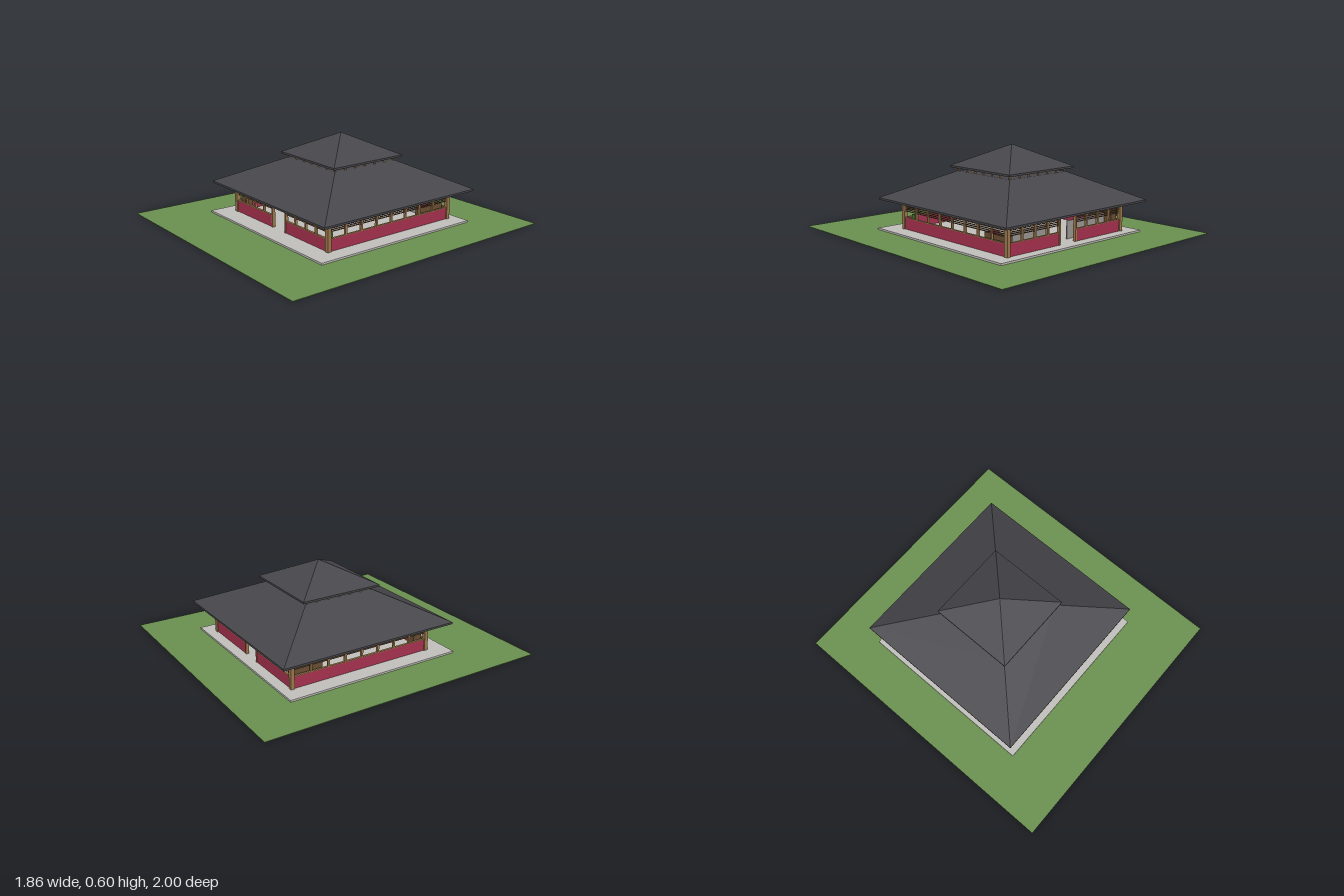
import * as THREE from 'three';

const mat = (name, color) => {
  const m = new THREE.MeshStandardMaterial({ color });
  m.name = name;
  return m;
};

export function createModel() {
  const grass = mat('grass green', 0x6b9150);
  const stone = mat('pale stone', 0xc3c1bd);
  const wood = mat('timber', 0xa07a4e);
  const dark = mat('dark timber', 0x6b4f35);
  const red = mat('crimson panel', 0xa8324f);
  const slate = mat('roof slate', 0x47464b);
  const grey = mat('grey panel', 0x9d9894);
  const leaf = mat('plant green', 0x4f7a35);

  const model = new THREE.Group();
  model.name = 'pavilion';

  // box spanning w, h, d with its base at y
  function box(parent, name, m, w, h, d, x, y, z) {
    const mesh = new THREE.Mesh(new THREE.BoxGeometry(w, h, d), m);
    mesh.name = name;
    mesh.position.set(x, y + h / 2, z);
    parent.add(mesh);
    return mesh;
  }

  // site
  box(model, 'lawn', grass, 1.86, 0.004, 2, 0, 0, 0);
  box(model, 'plinth', stone, 1.262, 0.012, 1.242, 0, 0.004, -0.043);

  const house = new THREE.Group();
  house.name = 'house';
  house.position.z = -0.075;
  model.add(house);

  const floor = 0.016, sill = 0.095, head = 0.215;
  const H = 0.523;

  // corner posts
  for (const sx of [-1, 1]) for (const sz of [-1, 1])
    box(house, 'cornerPost', wood, 0.026, head - floor, 0.026, sx * (H - 0.013), floor, sz * (H - 0.013));

  // one facade, built facing +z then turned into place
  function facade(name, angle, hasDoor) {
    const g = new THREE.Group();
    g.name = name;
    g.rotation.y = angle;
    house.add(g);
    const z = H - 0.015, inner = H - 0.026;
    const spans = hasDoor ? [[-inner, -0.07], [0.07, inner]] : [[-inner, inner]];
    for (const [a, b] of spans) {
      const w = b - a, c = (a + b) / 2;
      box(g, 'lowerPanel', red, w, sill - floor, 0.014, c, floor, z);
      box(g, 'sillRail', wood, w, 0.005, 0.016, c, sill - 0.002, z);
      // louvres
      for (let i = 0; i < 7; i++)
        box(g, 'slat', dark, w, 0.0045, 0.008, c, 0.138 + i * 0.0108, z);
      // mullions
      const n = hasDoor ? 4 : 8;
      for (let i = 1; i < n; i++)
        box(g, 'mullion', wood, 0.013, head - sill, 0.015, a + (w * i) / n, sill, z);
    }
    if (hasDoor) {
      for (const s of [-1, 1])
        box(g, 'doorJamb', wood, 0.011, head - floor, 0.022, s * 0.0735, floor, z);
      box(g, 'doorLintel', wood, 0.16, 0.02, 0.022, 0, 0.195, z);
    }
    box(g, 'topBeam', wood, inner * 2, 0.007, 0.018, 0, 0.209, z);
    // rafter ends below the eaves
    for (let i = 0; i < 25; i++)
      box(g, 'rafterEnd', dark, 0.01, 0.007, 0.07, -0.48 + i * 0.04, 0.21, H + 0.02);
  }
  facade('frontFacade', 0, true);
  facade('leftFacade', Math.PI / 2, false);
  facade('backFacade', Math.PI, true);
  facade('rightFacade', -Math.PI / 2, false);

  // hipped roof: eave slab plus a four-sided frustum
  function roof(name, half, topHalf, y, rise) {
    const g = new THREE.Group();
    g.name = name;
    house.add(g);
    box(g, 'eave', slate, half * 2, 0.013, half * 2, 0, y, 0);
    const geo = new THREE.CylinderGeometry(topHalf * Math.SQRT2, half * Math.SQRT2, rise, 4, 1)
      .rotateY(Math.PI / 4).toNonIndexed();
    geo.computeVertexNormals();
    const slope = new THREE.Mesh(geo, slate);
    slope.name = 'slopes';
    slope.position.y = y + 0.013 + rise / 2;
    g.add(slope);
  }
  roof('lowerRoof', 0.632, 0.256, 0.216, 0.186);
  roof('upperRoof', 0.29, 0, 0.439, 0.145);

  // open lantern between the roofs
  const L = 0.248;
  for (let k = 0; k < 4; k++) {
    const side = new THREE.Group();
    side.name = 'lanternSide';
    side.rotation.y = (k * Math.PI) / 2;
    house.add(side);
    for (let i = 0; i < 7; i++)
      box(side, 'lanternPost', wood, 0.01, 0.024, 0.01, -L + (i * L) / 3, 0.415, L);
    box(side, 'lanternBeam', wood, L * 2, 0.005, 0.012, 0, 0.435, L);
  }

  // furnishings
  for (const s of [-1, 1]) {
    box(house, 'screen', grey, 0.4, 0.119, 0.008, s * 0.28, floor, -0.43);
    box(house, 'bench', dark, 0.045, 0.11, 0.2, s * 0.465, floor, -0.38);
  }
  box(house, 'cabinet', dark, 0.05, 0.17, 0.06, -0.465, floor, 0.46);
  box(house, 'cabinet', dark, 0.05, 0.17, 0.07, -0.465, floor, -0.46);
  box(house, 'cushion', red, 0.04, 0.012, 0.06, 0.465, 0.126, -0.34);
  box(house, 'planter', leaf, 0.03, 0.1, 0.03, 0.46, floor, 0.46);

  return model;
}
